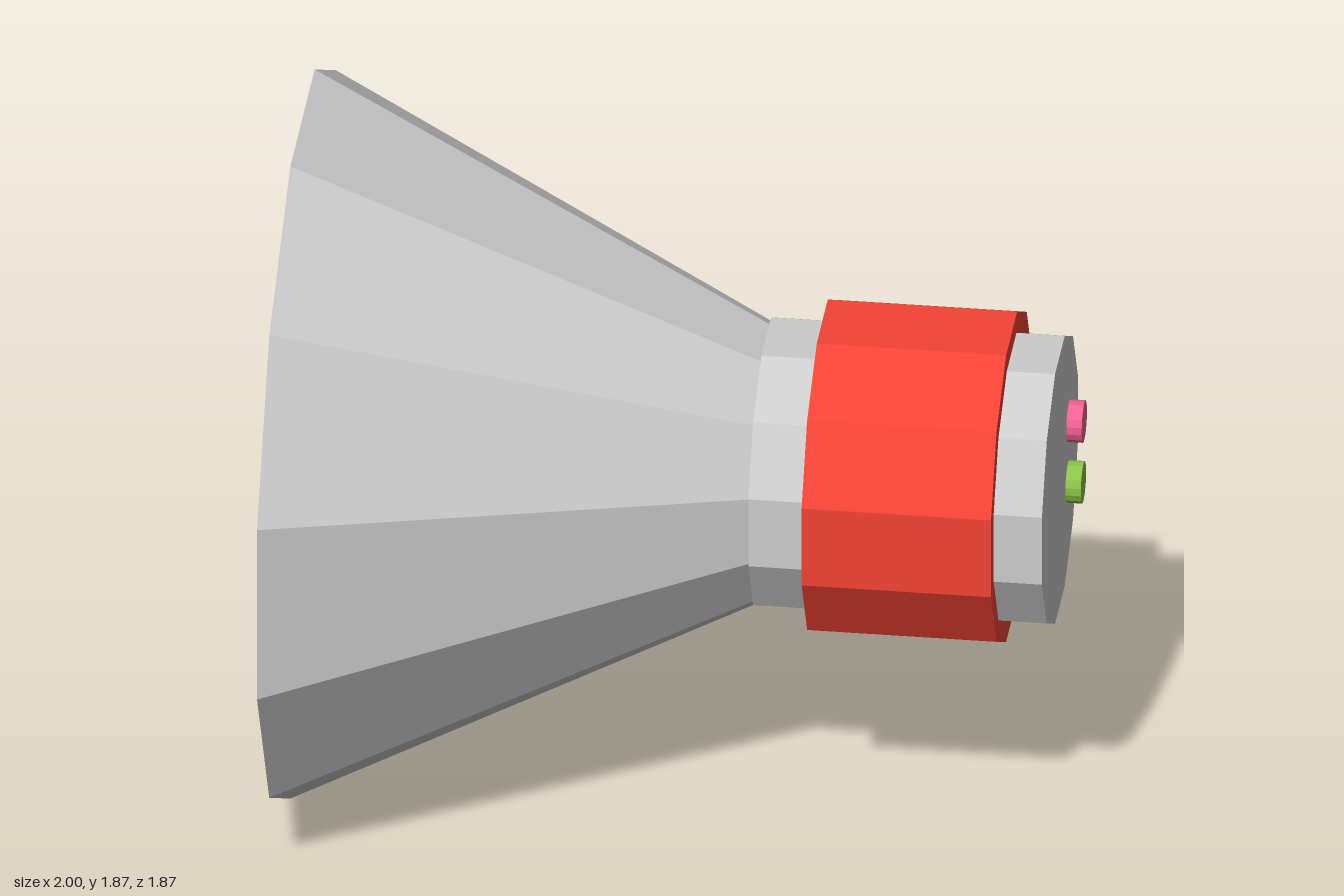
import * as THREE from 'three';

const AXIS_Y = 0.94;

function material(color) {
  return new THREE.MeshStandardMaterial({ color, flatShading: true });
}

// Faceted cylinder or cone lying along x, from x0 (radius r0) to x1 (radius r1).
function barrel(name, x0, x1, r0, r1, mat, { y = AXIS_Y, z = 0, sides = 12, open = false } = {}) {
  const geometry = new THREE.CylinderGeometry(r1, r0, x1 - x0, sides, 1, open, Math.PI / sides);
  geometry.rotateZ(-Math.PI / 2);
  const mesh = new THREE.Mesh(geometry, mat);
  mesh.name = name;
  mesh.position.set((x0 + x1) / 2, y, z);
  return mesh;
}

export function createModel() {
  const model = new THREE.Group();
  model.name = 'thruster';

  const grey = material(0xcccccc);
  const thinGrey = material(0xcccccc);
  thinGrey.side = THREE.DoubleSide;
  const red = material(0xf44336);
  const slate = material(0x455a64);

  // Flared, open bell
  model.add(barrel('bell', -1, 0.2, 0.97, 0.368, thinGrey, { open: true, y: AXIS_Y }));

  // Body with its coloured band
  model.add(barrel('body', 0.2, 0.96, 0.383, 0.383, grey, { y: 0.945 }));
  model.add(barrel('band', 0.345, 0.835, 0.44, 0.44, red, { y: 0.945 }));

  // Smaller core inside the bell, carried by the body
  model.add(barrel('core', -0.71, 0.2, 0.226, 0.226, grey));
  model.add(barrel('coreBand', -0.63, -0.3, 0.27, 0.27, slate));

  // Two buttons on the end cap
  const buttons = [
    ['upperButton', 1.015, -0.185, 0xf06292],
    ['lowerButton', 0.845, -0.167, 0x8bc34a],
  ];
  for (const [name, y, z, color] of buttons) {
    model.add(barrel(name, 0.95, 1, 0.055, 0.055, material(color), { y, z, sides: 16 }));
  }

  return model;
}
